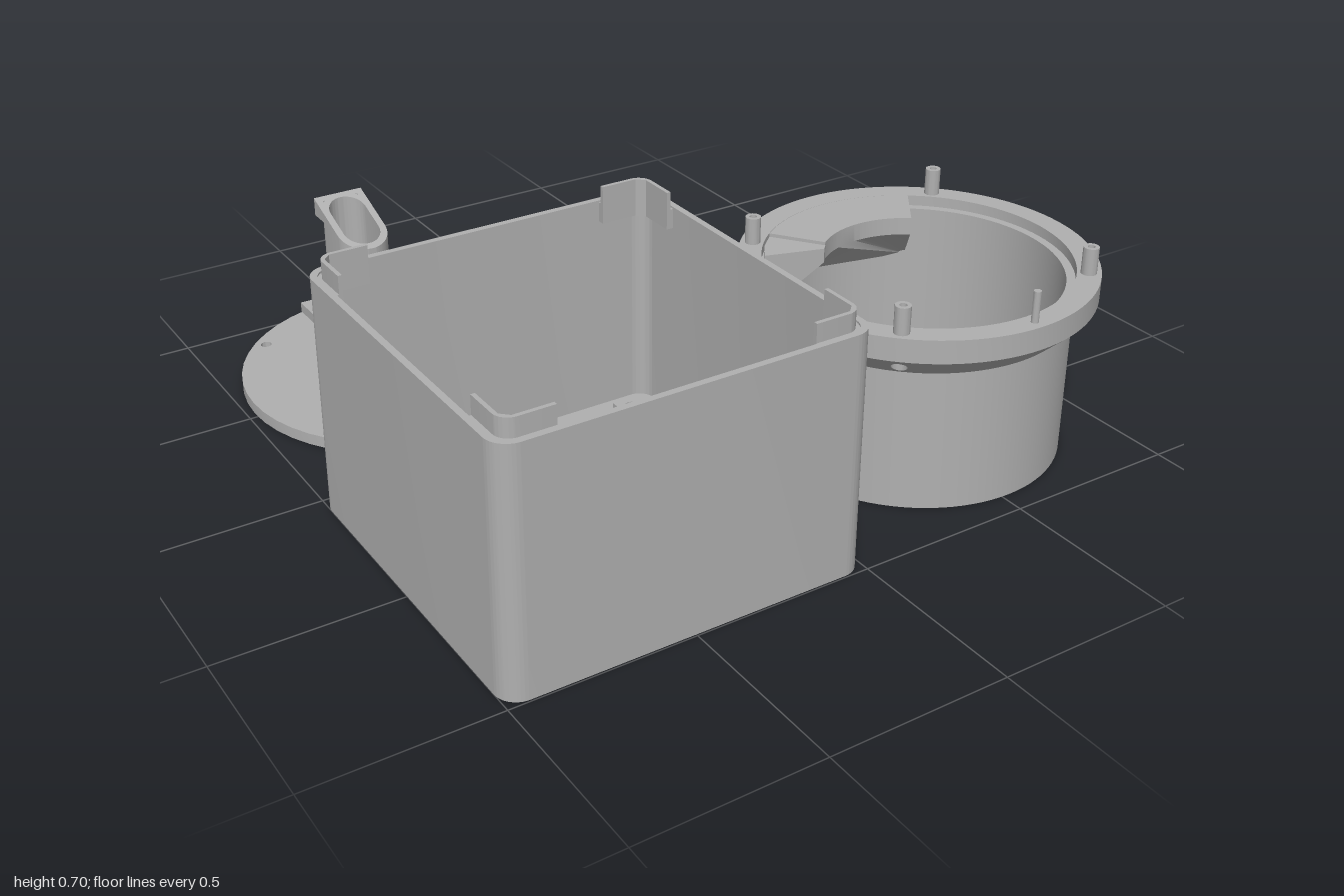
import * as THREE from 'three';
import { toCreasedNormals } from 'three/addons/utils/BufferGeometryUtils.js';

const grey = new THREE.MeshStandardMaterial({ color: 0xb0b0b0, side: THREE.DoubleSide });
grey.name = 'plain grey';

function add(parent, name, geometry) {
  const mesh = new THREE.Mesh(toCreasedNormals(geometry, 0.5), grey);
  mesh.name = name;
  parent.add(mesh);
  return mesh;
}

function group(parent, name, x, z) {
  const g = new THREE.Group();
  g.name = name;
  g.position.set(x, 0, z);
  parent.add(g);
  return g;
}

// Plan shapes are drawn as (x, -z) and raised from y0 to y1
function raise(shape, y0, y1, curveSegments = 24) {
  const g = new THREE.ExtrudeGeometry(shape, { depth: y1 - y0, bevelEnabled: false, curveSegments });
  return g.rotateX(-Math.PI / 2).translate(0, y0, 0);
}

// Apply a rule to each vertex
function bend(geometry, rule) {
  const p = geometry.attributes.position, v = new THREE.Vector3();
  for (let i = 0; i < p.count; i++) {
    rule(v.fromBufferAttribute(p, i));
    p.setXYZ(i, v.x, v.y, v.z);
  }
  geometry.computeVertexNormals();
  return geometry;
}

const lathe = (pts, n = 96, start = 0, length = Math.PI * 2) =>
  new THREE.LatheGeometry(pts.map(([x, y]) => new THREE.Vector2(x, y)), n, start, length);

const polygon = (pts) => new THREE.Shape(pts.map(([x, y]) => new THREE.Vector2(x, y)));

function circle(r, x = 0, y = 0) {
  return new THREE.Shape().absarc(x, y, r, 0, Math.PI * 2, false);
}

function roundedSquare(h, r) {
  const s = new THREE.Shape();
  [[1, 1], [-1, 1], [-1, -1], [1, -1]].forEach(([a, b], i) =>
    s.absarc(a * (h - r), b * (h - r), r, i * Math.PI / 2, (i + 1) * Math.PI / 2, false));
  return s.closePath();
}

// Slot outline from yBack (top end) to yFront (bottom end)
function slot(r, yBack, yFront, squareBack = false) {
  const s = new THREE.Shape();
  s.absarc(0, yFront + r, r, Math.PI, Math.PI * 2, false);
  if (squareBack) s.lineTo(r, yBack).lineTo(-r, yBack);
  else s.absarc(0, yBack - r, r, 0, Math.PI, false);
  return s.closePath();
}

function withHoles(shape, ...holes) {
  shape.holes.push(...holes);
  return shape;
}

function buildBox(root) {
  const box = group(root, 'openBox', -0.5025, 0.4975);
  const half = 0.4975, wall = 0.018;
  add(box, 'boxWalls', raise(withHoles(roundedSquare(half, 0.06), roundedSquare(half - wall, 0.045)), 0, 0.66));
  // Floor in layers, with a stepped opening
  const bx = 0.37, by = 0.37;
  [[0, 0.02, 0.44], [0.02, 0.032, 0.37], [0.032, 0.042, 0.388]].forEach(([y0, y1, r]) =>
    add(box, 'boxFloor', raise(withHoles(roundedSquare(half - wall, 0.045), circle(r), circle(0.02, bx, by)), y0, y1)));
  const b = 0.038;
  add(box, 'cableBoss', raise(withHoles(
    polygon([[bx - b, by - b], [bx + b, by - b], [bx + b, by + b], [bx - b, by + b]]),
    circle(0.02, bx, by)), 0.042, 0.08));
  // Corner locating tabs
  const tab = (outer, inner) => {
    const o = half - outer, i = half - inner, e = half - 0.16, r = 0.04;
    const s = new THREE.Shape();
    s.moveTo(e, i).lineTo(i - 0.02, i).lineTo(i, i - 0.02).lineTo(i, e).lineTo(o, e);
    s.absarc(o - r, o - r, r, 0, Math.PI / 2, false);
    return s.lineTo(e, o).closePath();
  };
  for (let k = 0; k < 4; k++) {
    add(box, 'cornerTab', raise(tab(0.027, 0.038), 0.6, 0.705)).rotation.y = k * Math.PI / 2;
    add(box, 'tabRoot', raise(tab(0.016, 0.038), 0.6, 0.655)).rotation.y = k * Math.PI / 2;
  }
}

function buildCollar(root) {
  const collar = group(root, 'flangedCollar', 0.52, 0.517);
  const coneY = (r) => 0.395 + 0.06 * (r - 0.415) / 0.063;
  add(collar, 'collarTube', lathe([[0.414, 0.49], [0.39, 0.49], [0.39, 0], [0.415, 0], [0.415, 0.395]]));
  add(collar, 'collarFlange', lathe([[0.478, 0.455], [0.478, 0.52], [0.414, 0.52], [0.414, 0.49]]));

  const gap = 0.08, pinR = 0.444;
  for (let k = 0; k < 4; k++) {
    const q = group(collar, 'collarQuarter', 0, 0);
    q.rotation.y = Math.PI / 4 + k * Math.PI / 2;
    // Cone between screw holes, and a pierced patch at each hole
    add(q, 'flangeCone', lathe([[0.415, 0.395], [0.478, 0.455]], 24, gap, Math.PI / 2 - 2 * gap));
    const hole = new THREE.Path().absellipse(0, (pinR - 0.415) / 0.063, 0.021 / pinR, 0.021 / 0.063, 0, Math.PI * 2, false, 0);
    const patch = new THREE.ShapeGeometry(withHoles(polygon([[-gap, 0], [0, 0], [gap, 0], [gap, 1], [0, 1], [-gap, 1]]), hole), 12);
    add(q, 'piercedCone', bend(patch, (v) => {
      const r = 0.415 + 0.063 * v.y;
      v.set(r * Math.sin(v.x), coneY(r), r * Math.cos(v.x));
    }));
    const bore = new THREE.CylinderGeometry(0.021, 0.021, 1, 24, 1, true).translate(0, 0, pinR);
    add(q, 'screwBore', bend(bore, (v) => { v.y = v.y > 0 ? 0.5 : coneY(Math.hypot(v.x, v.z)); }));
    add(q, 'boreEnd', new THREE.CircleGeometry(0.021, 24).rotateX(Math.PI / 2).translate(0, 0.5, pinR));
    add(q, 'hollowPin', lathe([[0.021, 0.51], [0.021, 0.595], [0.01, 0.595], [0.01, 0.51]], 24).translate(0, 0, pinR));
  }
  add(collar, 'locatingPin', new THREE.CylinderGeometry(0.01, 0.01, 0.1, 20).translate(0, 0.556, 0.447));

  // Inner shelf with a sloping underside, and the small wedge beside it
  const slope = (v) => {
    if (v.y < 0.1) v.y = 0.47 - 0.13 * (Math.hypot(v.x, v.z) - 0.255) / 0.158;
  };
  const deg = Math.PI / 180;
  const sector = new THREE.Shape();
  sector.absarc(0, 0, 0.413, 54 * deg, 126 * deg, false).absarc(0, 0, 0.255, 126 * deg, 54 * deg, true).closePath();
  add(collar, 'innerShelf', bend(raise(sector, 0, 0.52), slope));
  const wedge = [[0.405, 145], [0.41, 136], [0.41, 127.5], [0.252, 128], [0.25, 133]]
    .map(([r, a]) => [r * Math.cos(a * deg), r * Math.sin(a * deg)]).reverse();
  add(collar, 'shelfWedge', bend(raise(polygon(wedge), 0, 0.515), slope));
}

function buildLid(root) {
  const lid = group(root, 'roundLid', -0.5, -0.522);
  // Plan y is measured towards the back from the lid centre
  const channel = () => slot(0.038, 0.39, 0.248);
  const screws = [[1, 1], [-1, 1], [-1, -1], [1, -1]].map(([a, b]) => circle(0.016, a * 0.314, b * 0.314));
  add(lid, 'lidDisc', raise(withHoles(circle(0.478), circle(0.093), channel(), ...screws), 0, 0.033));
  add(lid, 'spoutBase', raise(withHoles(
    polygon([[-0.139, 0.182], [0.139, 0.182], [0.139, 0.461], [-0.139, 0.461]]), channel()), 0.033, 0.063));
  // Spout with a slanted mouth
  const slant = (v) => { if (v.y > 0.9) v.y = 0.315 + 0.09 * (-v.z - 0.2) / 0.238; };
  add(lid, 'spout', bend(raise(withHoles(slot(0.076, 0.438, 0.2), slot(0.056, 0.42, 0.222)), 0.063, 1), slant));
  const x = 0.0762, i = 0.056;
  add(lid, 'spoutHood', bend(raise(polygon([[-x, 0.362], [-i, 0.362], [-i, 0.42], [i, 0.42], [i, 0.362],
    [x, 0.362], [x, 0.439], [-x, 0.439]]), 0.35, 1), slant));
}

export function createModel() {
  const root = new THREE.Group();
  root.name = 'housingParts';
  buildBox(root);
  buildCollar(root);
  buildLid(root);
  return root;
}
